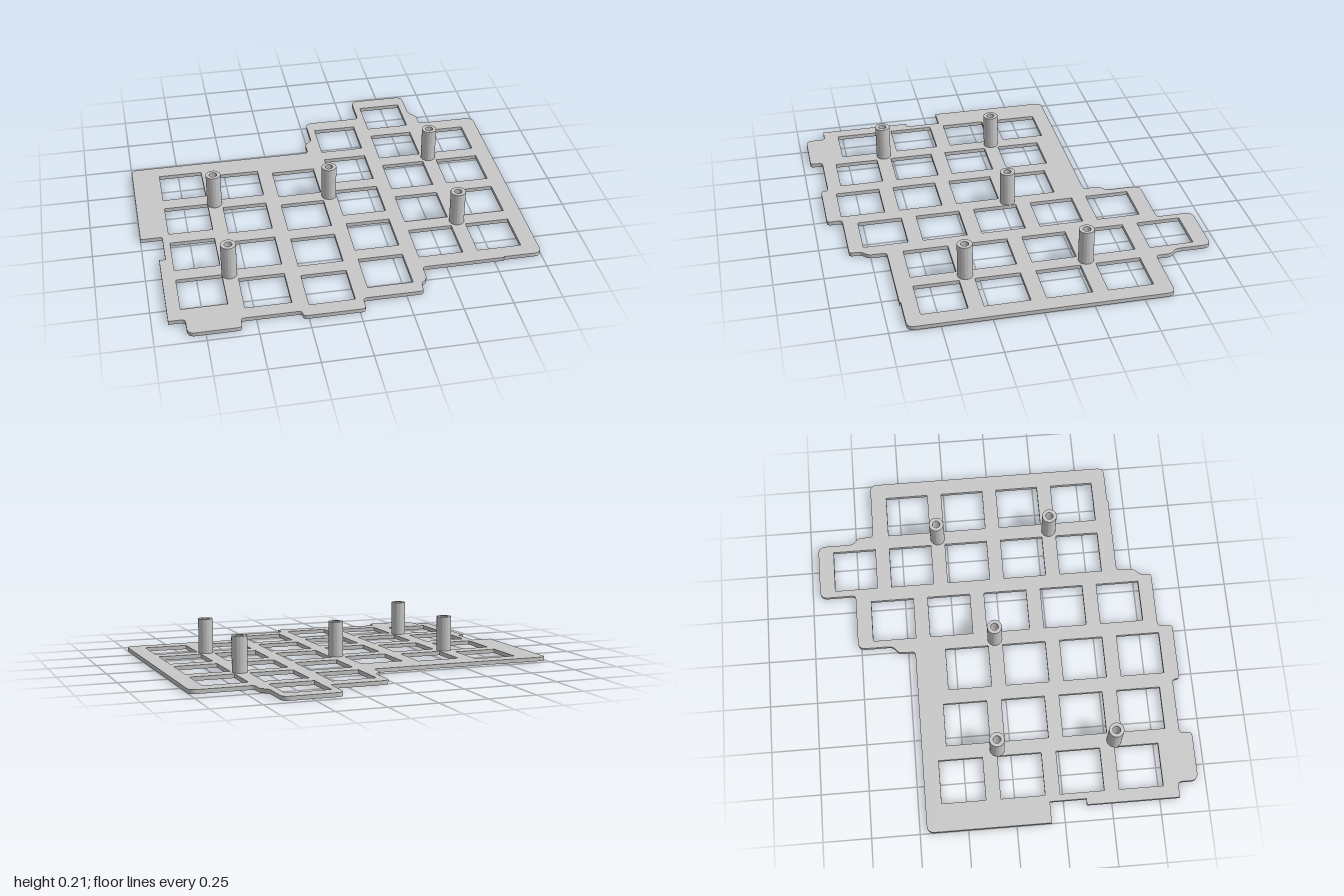
import * as THREE from 'three';
import { toCreasedNormals } from 'three/addons/utils/BufferGeometryUtils.js';

const THICK = 0.021, POST_TOP = 0.207;

// Closed outline with rounded corners; each point is [x, z, radius]
function roundedOutline(points) {
  const shape = new THREE.Shape();
  const n = points.length;
  const v = points.map(([x, z]) => new THREE.Vector2(x, -z));
  for (let i = 0; i < n; i++) {
    const p = v[i], a = v[(i + n - 1) % n], b = v[(i + 1) % n];
    const r = Math.min(points[i][2], p.distanceTo(a) / 2, p.distanceTo(b) / 2);
    const start = p.clone().add(a.clone().sub(p).setLength(r));
    const end = p.clone().add(b.clone().sub(p).setLength(r));
    if (i === 0) shape.moveTo(start.x, start.y);
    else shape.lineTo(start.x, start.y);
    if (r > 0) shape.quadraticCurveTo(p.x, p.y, end.x, end.y);
  }
  shape.closePath();
  return shape;
}

// Extrude a flat shape upward along y
function slab(shape, depth, curveSegments) {
  const g = new THREE.ExtrudeGeometry(shape, { depth, bevelEnabled: false, curveSegments });
  g.rotateX(-Math.PI / 2);
  return toCreasedNormals(g, 0.6);
}

export function createModel() {
  const model = new THREE.Group();
  const grey = new THREE.MeshStandardMaterial({ color: 0xc8c8c8 });
  grey.name = 'grey';

  // Plate outline, clockwise from the back left corner
  const R = 0.04, r = 0.02;
  const outline = roundedOutline([
    [-1, -0.463, R], [-0.01, -0.463, r], [-0.01, -0.552, r], [0.03, -0.582, r],
    [0.03, -0.768, R], [0.34, -0.768, r], [0.34, -0.96, R], [0.645, -0.96, R],
    [0.645, -0.772, r], [0.682, -0.735, r], [0.682, -0.656, r], [1, -0.656, R],
    [1, 0.662, R], [0.8, 0.662, 0], [0.8, 0.668, 0], [0.374, 0.668, r],
    [0.374, 0.76, r], [0.337, 0.795, r], [0.337, 0.854, r], [0.03, 0.854, r],
    [0.03, 0.933, r], [-0.278, 0.933, r], [-0.278, 0.895, r], [-0.576, 0.895, r],
    [-0.576, 0.96, r], [-0.838, 0.96, R], [-0.838, 0.854, r], [-0.92, 0.854, 0],
    [-0.92, 0.37, 0], [-0.888, 0.37, 0], [-0.888, 0.18, 0], [-1, 0.18, 0],
  ]);

  // Square switch openings: staggered columns of [x, first z, count]
  const H = 0.115, PITCH = 0.308;
  const columns = [
    [-0.738, -0.264, 4], [-0.431, -0.218, 4], [-0.123, -0.185, 4],
    [0.184, -0.57, 5], [0.491, -0.762, 5], [0.798, -0.455, 4],
  ];
  for (const [x, z0, count] of columns) {
    for (let i = 0; i < count; i++) {
      const y = -(z0 + i * PITCH);
      outline.holes.push(new THREE.Path([
        new THREE.Vector2(x - H, y - H), new THREE.Vector2(x + H, y - H),
        new THREE.Vector2(x + H, y + H), new THREE.Vector2(x - H, y + H),
      ]));
    }
  }
  const plate = new THREE.Mesh(slab(outline, THICK, 6), grey);
  plate.name = 'switchPlate';
  model.add(plate);

  // Hollow standoffs rising from the plate
  const ring = new THREE.Shape().absarc(0, 0, 0.039, 0, Math.PI * 2, false);
  ring.holes.push(new THREE.Path().absarc(0, 0, 0.02, 0, Math.PI * 2, true));
  const postGeometry = slab(ring, POST_TOP - THICK, 24);
  const posts = [[-0.586, -0.069], [-0.586, 0.547], [0.029, -0.032], [0.644, -0.299], [0.644, 0.317]];
  posts.forEach(([x, z], i) => {
    const post = new THREE.Mesh(postGeometry, grey);
    post.name = `standoff${i + 1}`;
    post.position.set(x, THICK, z);
    model.add(post);
  });
  return model;
}
